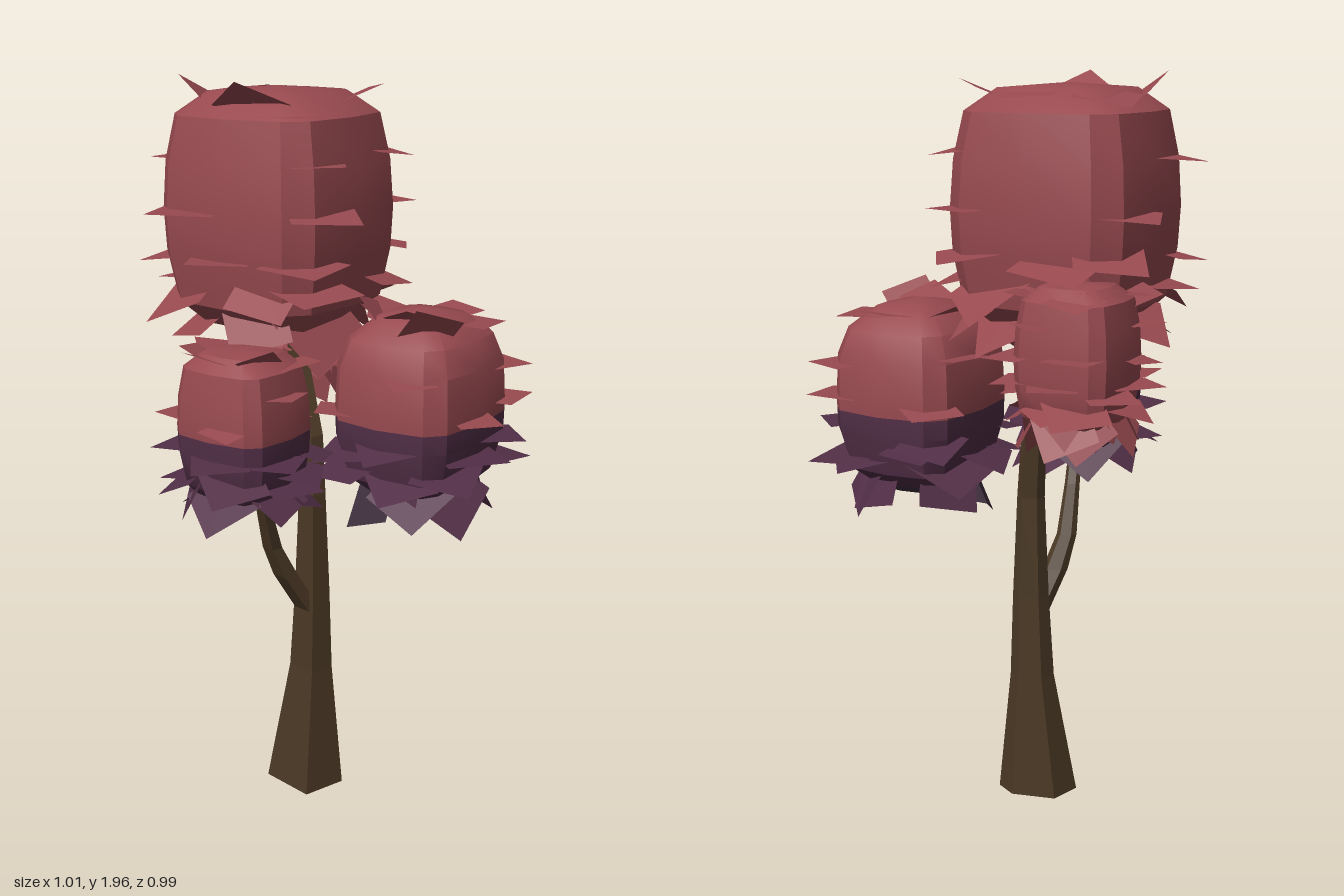
import * as THREE from 'three';
import { toCreasedNormals } from 'three/addons/utils/BufferGeometryUtils.js';

const V = (x, y, z) => new THREE.Vector3(x, y, z);

// Small seeded random generator
let seed = 7;
const rand = (lo, hi) => {
  seed = (seed * 16807) % 2147483647;
  return lo + (hi - lo) * (seed / 2147483647);
};

const paint = (name, color, side = THREE.DoubleSide) => {
  const m = new THREE.MeshStandardMaterial({ color, side });
  m.name = name;
  return m;
};

const geometryFrom = (points) => {
  const g = new THREE.BufferGeometry().setFromPoints(points);
  g.computeVertexNormals();
  return g;
};

// Join neighbouring rings of points with faceted walls
function skin(rings) {
  const pts = [];
  for (let i = 0; i + 1 < rings.length; i++) {
    const lo = rings[i], hi = rings[i + 1], n = lo.length;
    for (let j = 0; j < n; j++) {
      const k = (j + 1) % n;
      pts.push(lo[j], hi[j], hi[k], lo[j], hi[k], lo[k]);
    }
  }
  return pts;
}

// Five-sided wood section, relative to the trunk centre
const WOOD = [[-0.07, -0.065], [0.05, -0.075], [0.1, -0.035], [0.04, 0.075], [-0.11, 0.015]];

// Each stop is [x, y, z, scale]
const limb = (stops) => geometryFrom(skin(
  stops.map(([x, y, z, s]) => WOOD.map(([u, w]) => V(x + u * s, y, z + w * s)))));

// Heights where the leaf colour changes from dark to dusk to red
const CUTS = [0.91, 1.11];
const tone = (y) => (y < CUTS[0] ? 0 : y < CUTS[1] ? 1 : 2);

// Outlines of a clump: [height, radius], both in half sizes
const BOXY = [[-1, 0], [-0.95, 0.66], [-0.76, 0.89], [-0.35, 0.98], [0, 1],
  [0.4, 0.97], [0.78, 0.88], [0.96, 0.6], [1, 0]];
const ROUND = [[-1, 0], [-0.96, 0.5], [-0.72, 0.85], [-0.3, 0.99], [0, 1],
  [0.45, 0.97], [0.72, 0.84], [0.93, 0.5], [1, 0]];
const radiusAt = (outline, t) => {
  for (let i = 1; i < outline.length; i++) {
    const [a, ra] = outline[i - 1], [b, rb] = outline[i];
    if (t <= b) return ra + (rb - ra) * (t - a) / (b - a);
  }
  return 0;
};

// Point on a rounded-box clump at height t and angle a
function surface(c, t, a, grow = 1) {
  const n = 3.4, ca = Math.cos(a), sa = Math.sin(a);
  const r = grow * radiusAt(c.outline, t) / Math.pow(Math.abs(ca) ** n + Math.abs(sa) ** n, 1 / n);
  const x = c.size[0] * r * ca, z = c.size[2] * r * sa;
  const cr = Math.cos(c.turn), sr = Math.sin(c.turn);
  return V(c.at[0] + x * cr - z * sr, c.at[1] + c.size[1] * t, c.at[2] + x * sr + z * cr);
}

// Clump body, with rings added at the colour changes
function clumpBody(c, leafTones) {
  const heights = c.outline.map((p) => p[0]);
  for (const y of CUTS) {
    const t = (y - c.at[1]) / c.size[1];
    if (t > -0.99 && t < 0.99) heights.push(t);
  }
  heights.sort((a, b) => a - b);
  const angles = [];
  for (let q = 0; q < 4; q++) for (const d of [0, 37, 53]) angles.push((q * 90 + d) * Math.PI / 180);
  const rings = heights.map((t) => angles.map((a) => surface(c, t, a)));
  const g = toCreasedNormals(geometryFrom(skin(rings)), 0.6);
  const per = angles.length * 6;
  for (let i = 0; i + 1 < heights.length; i++) {
    const mid = c.at[1] + c.size[1] * (heights[i] + heights[i + 1]) / 2;
    g.addGroup(i * per, per, tone(mid));
  }
  const mesh = new THREE.Mesh(g, leafTones);
  mesh.name = 'leafClump';
  return mesh;
}

// Flat square leaves poking out of a clump, in rows [height, count, min tilt, max tilt, size]
const ROWS = [
  [0.88, 6, -0.3, 0.9, 0.9],
  [0.45, 3, -0.2, 0.1, 0.9],
  [0.05, 4, -0.2, 0.1, 1],
  [-0.35, 6, -0.35, 0.05, 1.05],
  [-0.62, 7, -0.7, -0.1, 1.1],
  [-0.86, 7, -1.2, -0.5, 1.2],
];
function clumpLeaves(c, leafTones) {
  const byTone = [[], [], []];
  for (const [t0, count, lo, hi, scale] of ROWS) {
    for (let i = 0; i < count; i++) {
      const t = t0 + rand(-0.07, 0.07);
      const a = (i + rand(0, 0.8)) / count * Math.PI * 2;
      const p = surface(c, t, a, 0.92);
      const out = V(p.x - c.at[0], 0, p.z - c.at[2]).normalize();
      const across = V(-out.z, 0, out.x);
      const tilt = rand(lo, hi);
      out.multiplyScalar(Math.cos(tilt)).setY(Math.sin(tilt));
      const half = c.leaf * scale * rand(0.85, 1.15), spin = rand(-0.55, 0.55);
      const q = [0, 1, 2, 3].map((k) => p.clone()
        .addScaledVector(out, half * Math.cos(spin + k * Math.PI / 2))
        .addScaledVector(across, half * Math.sin(spin + k * Math.PI / 2)));
      byTone[tone(p.y)].push(q[0], q[1], q[2], q[0], q[2], q[3]);
    }
  }
  const group = new THREE.Group();
  group.name = 'looseLeaves';
  byTone.forEach((pts, i) => {
    if (!pts.length) return;
    const mesh = new THREE.Mesh(geometryFrom(pts), leafTones[i]);
    mesh.name = 'leaves';
    group.add(mesh);
  });
  return group;
}

export function createModel() {
  seed = 7;
  const tree = new THREE.Group();
  tree.name = 'tree';
  const bark = paint('bark', 0x4a3825, THREE.FrontSide);
  const leafTones = [paint('darkLeaf', 0x40303f), paint('duskLeaf', 0x522f47), paint('redLeaf', 0x984a50)];

  // Trunk flares at the foot and bends back near the top
  const trunk = new THREE.Mesh(limb([
    [-0.09, 0, 0.035, 0], [-0.09, 0, 0.035, 1], [-0.08, 0.35, 0.012, 0.55], [-0.076, 0.58, 0.01, 0.45],
    [-0.077, 0.86, 0.005, 0.34], [-0.09, 1.02, -0.015, 0.31], [-0.165, 1.2, -0.1, 0.27],
    [-0.18, 1.42, -0.1, 0.22], [-0.18, 1.42, -0.1, 0],
  ]), bark);
  trunk.name = 'trunk';

  // Side branch that holds the front clump
  const branch = new THREE.Mesh(limb([
    [-0.085, 0.53, 0.02, 0], [-0.085, 0.53, 0.02, 0.34], [-0.125, 0.64, 0.075, 0.32],
    [-0.147, 0.73, 0.11, 0.25], [-0.147, 0.86, 0.16, 0.19], [-0.14, 1.02, 0.24, 0.16], [-0.14, 1.02, 0.24, 0],
  ]), bark);
  branch.name = 'branch';
  tree.add(trunk, branch);

  // Leaf clumps
  const clumps = [
    { name: 'topFoliage', at: [-0.17, 1.63, 0.002], size: [0.26, 0.305, 0.26], turn: 0.17, leaf: 0.11, outline: BOXY },
    { name: 'leftFoliage', at: [0.21, 1.135, -0.05], size: [0.188, 0.255, 0.21], turn: 0.2, leaf: 0.1, outline: ROUND },
    { name: 'frontFoliage', at: [-0.137, 1.125, 0.282], size: [0.15, 0.195, 0.142], turn: 0.2, leaf: 0.085, outline: BOXY },
    { name: 'backFoliage', at: [-0.28, 1.305, -0.27], size: [0.135, 0.18, 0.138], turn: 0.2, leaf: 0.085, outline: BOXY },
  ];
  for (const c of clumps) {
    const group = new THREE.Group();
    group.name = c.name;
    group.add(clumpBody(c, leafTones), clumpLeaves(c, leafTones));
    tree.add(group);
  }
  return tree;
}
